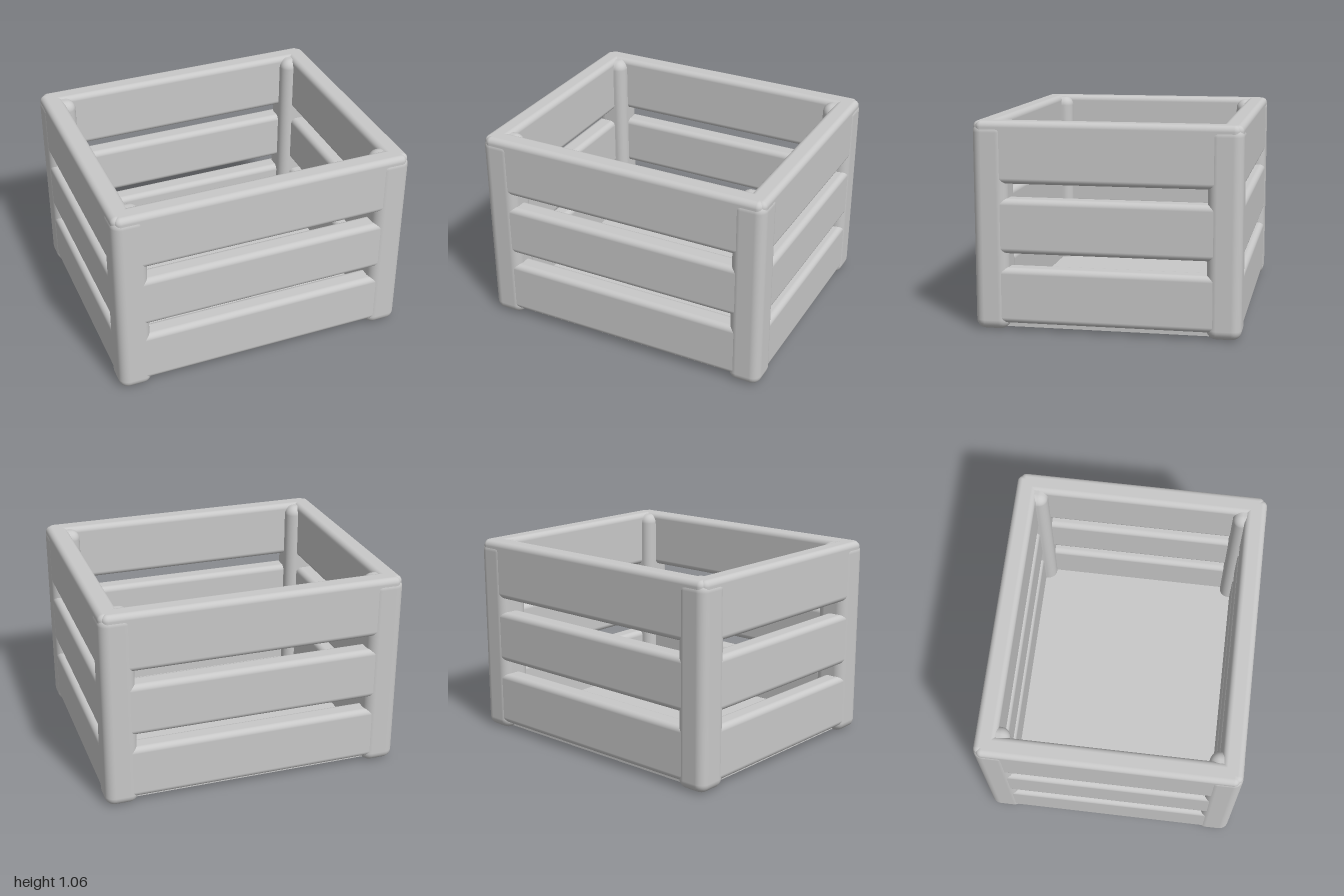
import * as THREE from 'three';
import { RoundedBoxGeometry } from 'three/addons/geometries/RoundedBoxGeometry.js';

export function createModel() {
  const model = new THREE.Group();
  model.name = 'crate';
  const grey = new THREE.MeshStandardMaterial({ color: 0xc8c8c8 });
  grey.name = 'plain grey';

  // The crate stands turned about the vertical axis
  const crate = new THREE.Group();
  crate.name = 'crateBody';
  crate.rotation.y = THREE.MathUtils.degToRad(-28);
  model.add(crate);

  const HX = 0.674, HZ = 0.795; // half width and half length
  const POST = 0.175, SLAT = 0.112, INSET = 0.003;

  function block(name, w, h, d, radius, x, y, z) {
    const mesh = new THREE.Mesh(new RoundedBoxGeometry(w, h, d, 4, radius), grey);
    mesh.name = name;
    mesh.position.set(x, y, z);
    crate.add(mesh);
  }

  // Corner posts, reaching just below the slats as feet
  for (const sx of [-1, 1]) {
    for (const sz of [-1, 1]) {
      block('cornerPost', POST, 1.053, POST, 0.05,
        sx * (HX - POST / 2), 1.053 / 2, sz * (HZ - POST / 2));
    }
  }

  // Three rows of slats on all four sides: [bottom, top]
  const rows = [[0.037, 0.322], [0.395, 0.673], [0.748, 1.06]];
  for (const [y0, y1] of rows) {
    const h = y1 - y0, y = (y0 + y1) / 2;
    for (const s of [-1, 1]) {
      block('endSlat', 2 * (HX - 0.018), h, SLAT, 0.03, 0, y, s * (HZ - INSET - SLAT / 2));
      block('sideSlat', SLAT, h, 2 * (HZ - 0.018), 0.03, s * (HX - INSET - SLAT / 2), y, 0);
    }
  }

  // Floor panel
  const floor = new THREE.Mesh(new THREE.BoxGeometry(1.24, 0.055, 1.48), grey);
  floor.name = 'floor';
  floor.position.y = 0.0375;
  crate.add(floor);

  return model;
}
